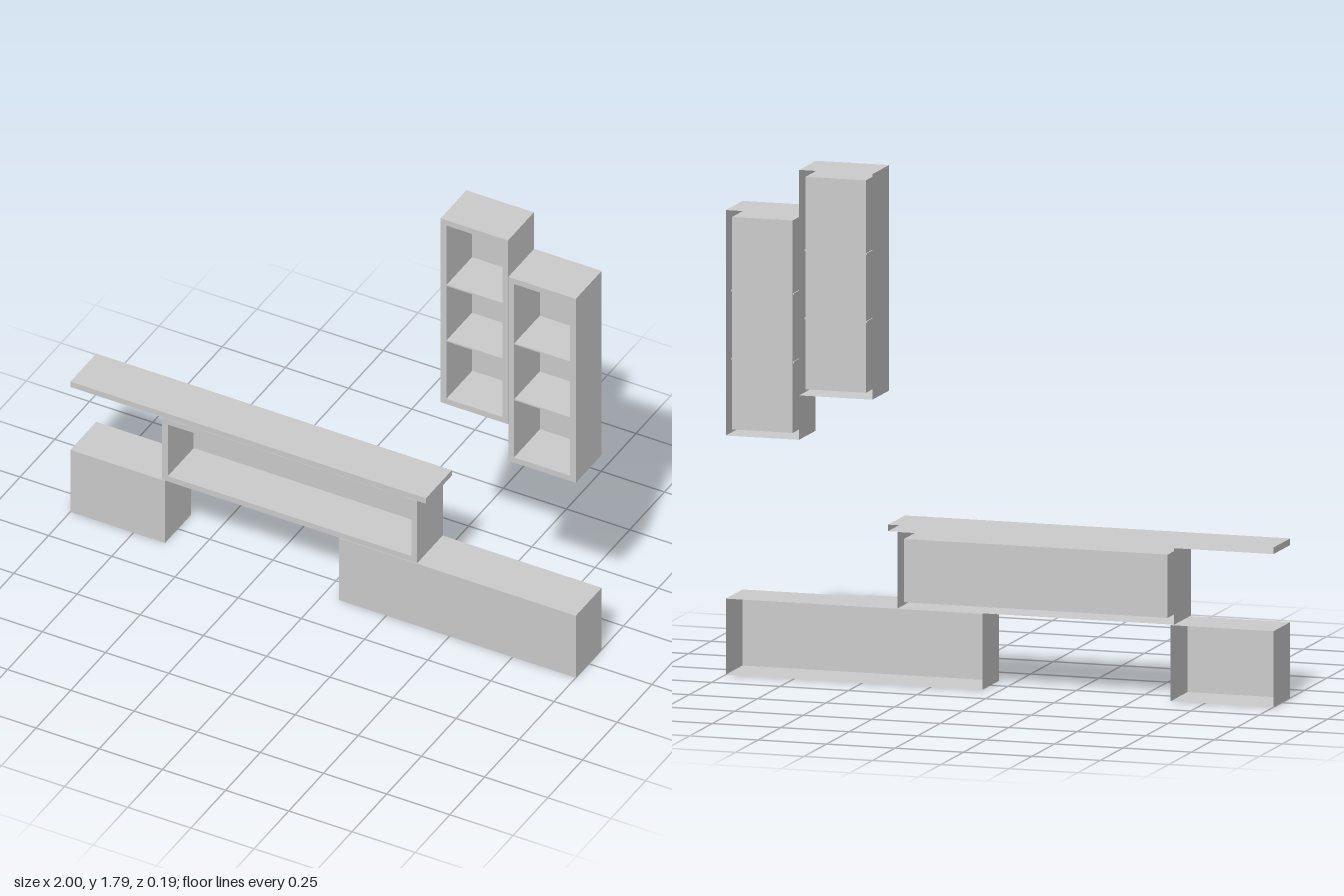
import * as THREE from 'three';

const D = 0.093; // half depth shared by every unit
const material = new THREE.MeshStandardMaterial({ color: 0xcccccc, side: THREE.DoubleSide });

// Thin-walled box spanning the given extents, keeping only the listed sides
const SIDES = ['left', 'right', 'top', 'bottom', 'front', 'back'];
function shell(name, [x0, x1, y0, y1], keep, z0 = -D, z1 = D) {
  const g = new THREE.BoxGeometry(x1 - x0, y1 - y0, z1 - z0);
  const all = Array.from(g.index.array);
  g.setIndex(SIDES.flatMap((s, i) => (keep.includes(s) ? all.slice(i * 6, i * 6 + 6) : [])));
  g.clearGroups();
  g.translate((x0 + x1) / 2, (y0 + y1) / 2, (z0 + z1) / 2);
  const mesh = new THREE.Mesh(g, material);
  mesh.name = name;
  return mesh;
}

function rectangle(path, [x0, x1, y0, y1]) {
  path.moveTo(x0, y0).lineTo(x1, y0).lineTo(x1, y1).lineTo(x0, y1).closePath();
  return path;
}

const WALLS = ['left', 'right', 'top', 'bottom'];

// Hollow cabinet: outer walls, flat front frame, recessed cavity and shelves
function cabinet(name, outer, shelves = []) {
  const group = new THREE.Group();
  group.name = name;
  const t = 0.023;
  const inner = [outer[0] + t, outer[1] - t, outer[2] + t, outer[3] - t];
  group.add(shell('outerWalls', outer, WALLS));
  group.add(shell('cavity', inner, [...WALLS, 'back']));

  const face = rectangle(new THREE.Shape(), outer);
  face.holes.push(rectangle(new THREE.Path(), inner));
  const frame = new THREE.Mesh(new THREE.ShapeGeometry(face), material);
  frame.name = 'frontFrame';
  frame.position.z = D;
  group.add(frame);

  // shelf ends run slightly past the cavity walls
  for (const y of shelves) {
    const extent = [inner[0] - 0.004, inner[1] + 0.004, y - 0.003, y + 0.003];
    group.add(shell('shelf', extent, SIDES, -D + 0.002, D - 0.002));
  }
  return group;
}

export function createModel() {
  const model = new THREE.Group();
  model.name = 'wallUnit';
  const openBack = [...WALLS, 'front'];

  // closed-front base units, open at the back
  model.add(shell('rightBaseUnit', [-1, -0.625, 0, 0.268], openBack));
  model.add(shell('leftBaseUnit', [0.063, 1, 0, 0.268], openBack));

  // long open cabinet bridging the base units, with its overhanging top
  model.add(cabinet('bridgeCabinet', [-0.637, 0.372, 0.27, 0.539]));
  model.add(shell('topBoard', [-1, 0.407, 0.54, 0.563], openBack));

  // two staggered tall shelf units
  model.add(cabinet('upperShelfUnit', [0.465, 0.732, 1, 1.795], [1.272, 1.512]));
  model.add(cabinet('lowerShelfUnit', [0.733, 1, 0.843, 1.638], [1.114, 1.355]));
  return model;
}
